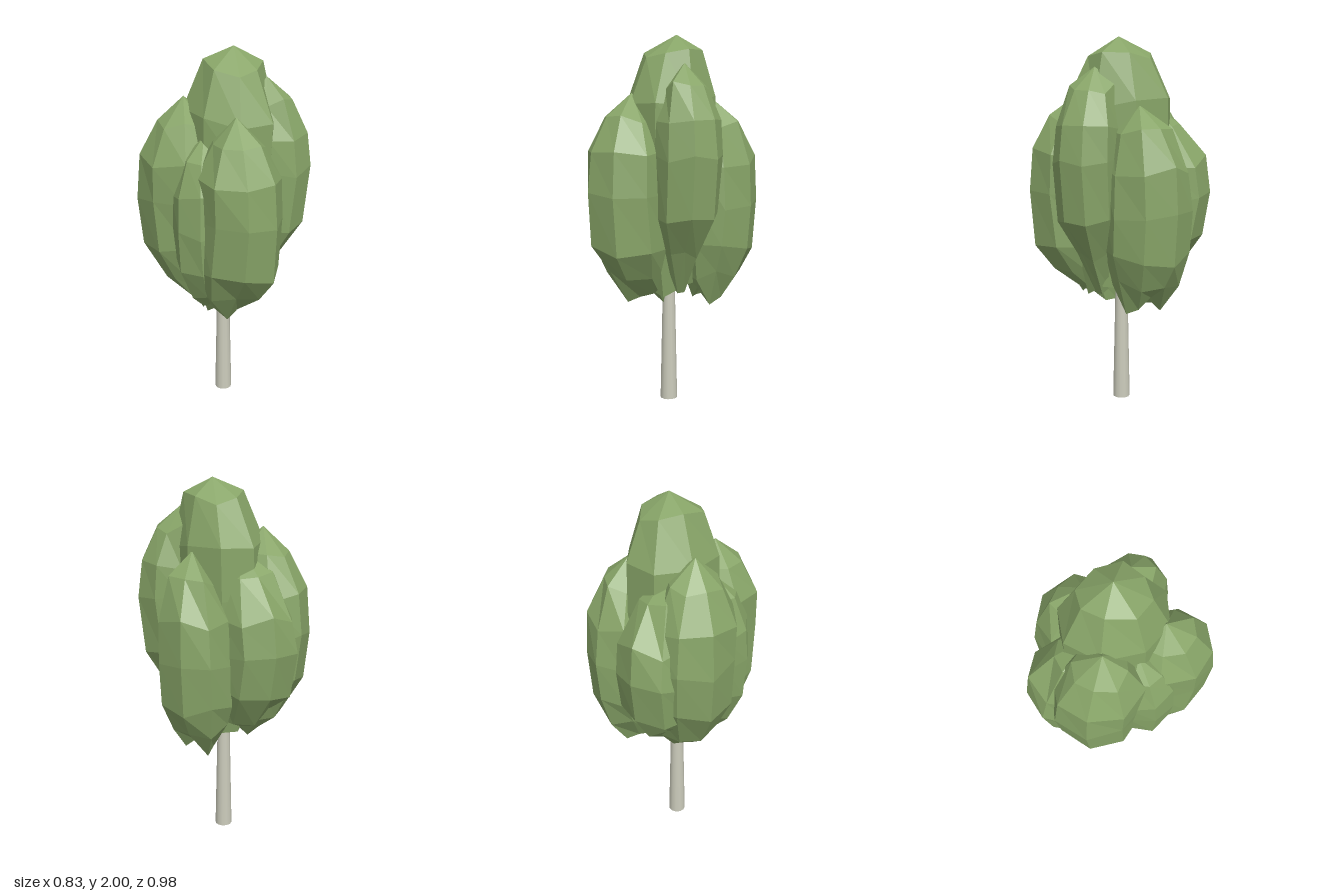
import * as THREE from 'three';

const leaf = new THREE.MeshStandardMaterial({ color: 0x88a568, flatShading: true, side: THREE.DoubleSide });
const bark = new THREE.MeshStandardMaterial({ color: 0xccccbc });

// Repeatable value in -1..1
const hash = (a, b, c) => {
  const s = Math.sin(a * 12.99 + b * 78.23 + c * 37.72) * 43758.55;
  return 2 * (s - Math.floor(s)) - 1;
};

const SIDES = 8;
// Outlines: [radius factor, height from -1 (bottom) to 1 (tip)]
const lobeOutline = [[0, -0.75], [0.36, -0.93], [0.7, -0.75], [0.95, -0.42], [1, 0], [0.95, 0.4], [0.6, 0.78], [0, 1]];
const barrelOutline = [[0, -0.75], [0.42, -0.95], [0.78, -0.72], [1, -0.45], [1, 0], [0.96, 0.4], [0.62, 0.76], [0, 1]];
const hoodOutline = [[0, -0.8], [0.3, -0.95], [0.55, -0.68], [0.98, -0.41], [1, 0], [0.95, 0.4], [0.66, 0.78], [0, 1]];
const crownOutline = [[0, -0.9], [0.6, -0.95], [0.9, -0.5], [1, 0], [0.98, 0.42], [0.64, 0.84], [0, 1]];

// A faceted spindle whose axis bends from bottom through mid to top
function makeLobe(name, seed, outline, phase, mid, rx, rz, top, bottom) {
  const points = outline.map(([r, v]) => new THREE.Vector2(r, v));
  const geometry = new THREE.LatheGeometry(points, SIDES);
  const pos = geometry.attributes.position;
  const n = points.length;
  for (let k = 0; k < pos.count; k++) {
    const side = Math.floor(k / n) % SIDES, ring = k % n;
    const [r, v] = outline[ring];
    const end = v > 0 ? top : bottom;
    const bend = v * v;
    // Rougher towards both ends
    const rough = 0.03 + 0.12 * bend;
    const wobble = 1 + rough * hash(seed, side, ring);
    const angle = (side + phase) / SIDES * Math.PI * 2;
    let y = mid[1] + (end[1] - mid[1]) * Math.abs(v);
    if (r > 0) y += 0.03 * hash(side, ring, seed);
    // Ragged lower hem
    if (ring === 1) y += 0.04 * hash(side, seed, 5);
    pos.setXYZ(k,
      mid[0] + (end[0] - mid[0]) * bend + Math.sin(angle) * r * rx * wobble,
      y,
      mid[2] + (end[2] - mid[2]) * bend + Math.cos(angle) * r * rz * wobble);
  }
  geometry.computeVertexNormals();
  const mesh = new THREE.Mesh(geometry, leaf);
  mesh.name = name;
  return mesh;
}

export function createModel() {
  const tree = new THREE.Group();
  tree.name = 'tree';

  // Slim tapering trunk that runs up inside the foliage
  const trunk = new THREE.Mesh(new THREE.CylinderGeometry(0.022, 0.047, 1.2, 12), bark);
  trunk.name = 'trunk';
  trunk.position.set(-0.008, 0.6, -0.01);
  tree.add(trunk);

  // Foliage: a tall crown ringed by six overlapping lobes
  const foliage = new THREE.Group();
  foliage.name = 'foliage';
  const lobes = [
    ['crown', crownOutline, 0.5, [0.02, 1.42, 0], 0.235, 0.29, [0.05, 2, 0], [0.03, 0.64, 0]],
    ['frontLobe', barrelOutline, 0.5, [-0.068, 1.18, 0.27], 0.215, 0.24, [-0.07, 1.7, 0.23], [-0.075, 0.56, 0.1]],
    ['frontLeftLobe', hoodOutline, 0, [0.235, 1.37, 0.15], 0.178, 0.17, [0.18, 1.85, 0.11], [0.09, 0.64, 0.07]],
    ['backLeftLobe', barrelOutline, 0, [0.225, 1.12, -0.17], 0.188, 0.228, [0.21, 1.66, -0.12], [0.17, 0.58, -0.12]],
    ['backLobe', lobeOutline, 0, [-0.09, 1.14, -0.28], 0.21, 0.215, [-0.05, 1.65, -0.14], [-0.03, 0.64, -0.06]],
    ['backRightLobe', lobeOutline, 0.5, [-0.2, 1.2, -0.138], 0.228, 0.248, [-0.19, 1.75, -0.1], [-0.11, 0.6, -0.06]],
    ['frontRightLobe', lobeOutline, 0.2, [-0.19, 1.1, 0.115], 0.172, 0.175, [-0.17, 1.58, 0.08], [-0.11, 0.6, 0.08]],
  ];
  lobes.forEach(([name, ...shape], i) => foliage.add(makeLobe(name, i + 2, ...shape)));
  tree.add(foliage);
  return tree;
}
